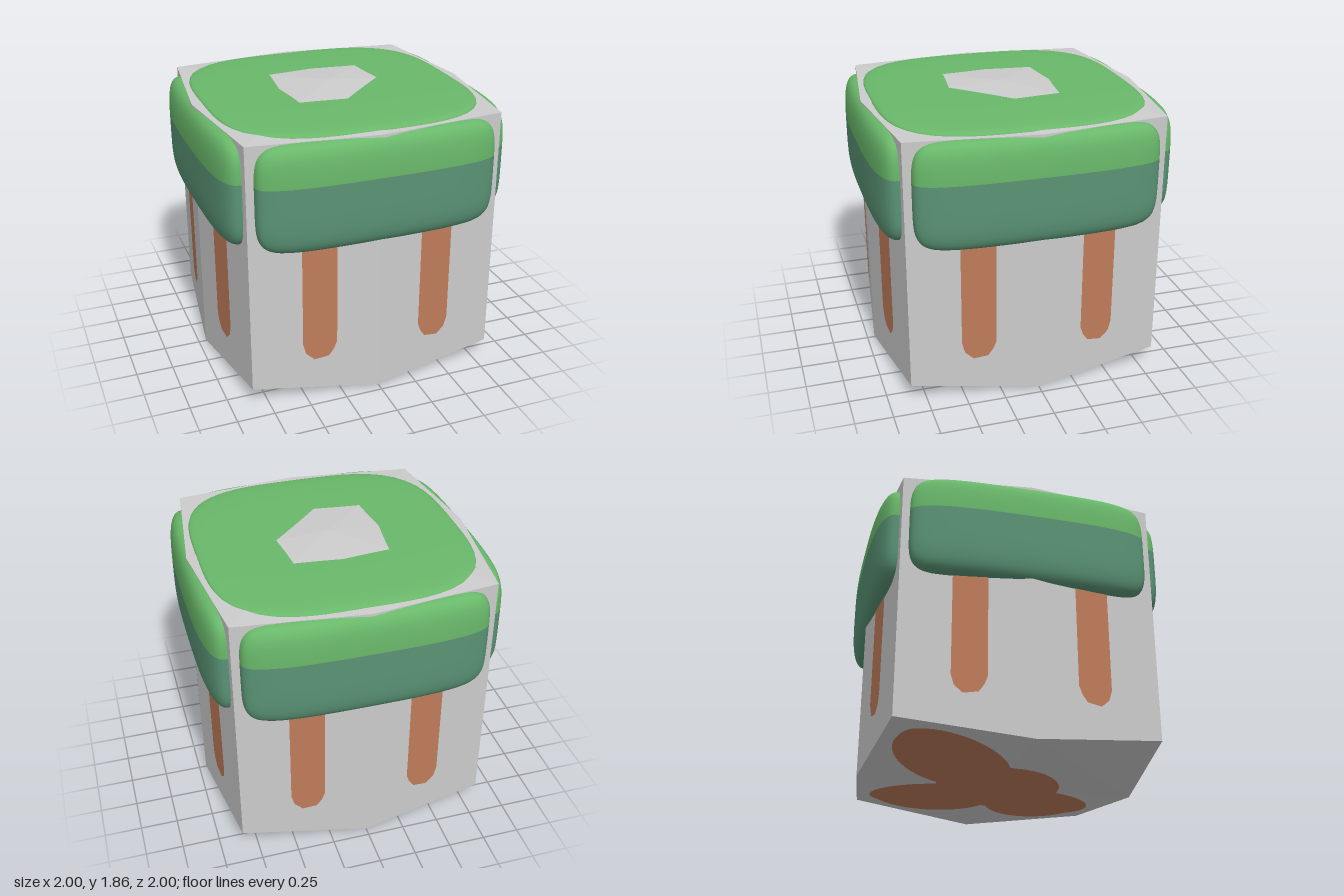
import * as THREE from 'three';

const mat = (name, color) => {
  const m = new THREE.MeshStandardMaterial({ color });
  m.name = name;
  return m;
};

// Height of the block's underside at (x, z)
function undersideY(x, z) {
  const a = Math.abs(x), b = Math.abs(z);
  if (x < 0 && z > 0 && a + b < 0.95) return 0.005 + 0.005 * (a + b) / 0.95;
  const c = Math.min(a, b) / 0.85, m = Math.abs(a - b) / 0.95;
  return 0.005 * (1 - c - m) + 0.01 * m + 0.11 * c;
}

// Grid surface: fn(i, j) returns a point; quads wind counter-clockwise for i right, j up
function grid(nu, nv, fn) {
  const pos = [], idx = [];
  for (let j = 0; j <= nv; j++) for (let i = 0; i <= nu; i++) pos.push(...fn(i, j));
  for (let j = 0; j < nv; j++) for (let i = 0; i < nu; i++) {
    const a = j * (nu + 1) + i, b = a + nu + 1;
    idx.push(a, a + 1, b + 1, a, b + 1, b);
  }
  const g = new THREE.BufferGeometry();
  g.setAttribute('position', new THREE.Float32BufferAttribute(pos, 3));
  g.setIndex(idx);
  g.computeVertexNormals();
  return g;
}

// Eight-sided block with ridged faces and low peaks above and below
function blockGeometry() {
  const pts = [], tris = [];
  for (const top of [false, true]) for (let k = 0; k < 8; k++) {
    const r = k % 2 ? 0.85 * Math.SQRT2 : 0.95, a = k * Math.PI / 4;
    pts.push([r * Math.cos(a), top ? 1.8 : k % 2 ? 0.11 : 0.01, r * Math.sin(a)]);
  }
  pts.push([0, 0.005, 0], [0, 1.86, 0]);
  for (let k = 0; k < 8; k++) {
    const n = (k + 1) % 8;
    tris.push(k, k + 8, n + 8, k, n + 8, n);
  }
  for (let k = 0; k < 8; k += 2) {
    const c = k + 1, n = (k + 2) % 8;
    if (k === 0) tris.push(17, n + 8, k + 8, k + 8, n + 8, c + 8);
    else tris.push(17, c + 8, k + 8, 17, n + 8, c + 8);
    if (k === 2) tris.push(16, k, n, k, c, n);
    else tris.push(16, k, c, 16, c, n);
  }
  const g = new THREE.BufferGeometry();
  g.setAttribute('position', new THREE.Float32BufferAttribute(tris.flatMap(i => pts[i]), 3));
  g.computeVertexNormals();
  return g;
}

// Pillowy side band, split into a lower and an upper colour
function bandGeometry() {
  const nu = 32, low = 16, high = 12, split = Math.asin(0.1 / 0.36);
  const g = grid(nu, low + high, (i, j) => {
    const t = j <= low
      ? -Math.PI / 2 + (split + Math.PI / 2) * j / low
      : split + (Math.PI / 2 - split) * (j - low) / high;
    const Y = Math.sin(t), X = Math.sin((i / nu - 0.5) * Math.PI);
    const w = 0.8 * Math.pow(Math.max(0, 1 - Math.abs(Y) ** 5), 0.1);
    const bulge = Math.cbrt(Math.max(0, 1 - Math.abs(X) ** 3)) * Math.pow(Math.max(0, 1 - Y ** 4), 0.25);
    return [w * X, 1.44 + 0.36 * Y, 0.85 + 0.15 * bulge];
  });
  g.addGroup(0, nu * low * 6, 0);
  g.addGroup(nu * low * 6, nu * high * 6, 1);
  return g;
}

// Drip strip lying on the slanted face
function dripGeometry(side) {
  const outline = [[0.29, 1.2], [0.29, 0.4], [0.31, 0.345], [0.345, 0.295], [0.44, 0.28],
    [0.495, 0.33], [0.515, 0.4], [0.515, 1.2]];
  const g = new THREE.ShapeGeometry(new THREE.Shape(outline.map(([x, y]) => new THREE.Vector2(side * x, y))));
  const p = g.attributes.position;
  for (let i = 0; i < p.count; i++) p.setZ(i, 0.954 - 0.1176 * Math.abs(p.getX(i)));
  g.computeVertexNormals();
  return g;
}

export function createModel() {
  const group = new THREE.Group();
  const grey = mat('light grey', 0xcccccc);
  const green = mat('leaf green', 0x69b86a);
  const teal = mat('dull teal', 0x5a9475);
  const clay = mat('clay brown', 0xc07c5b);
  clay.side = THREE.DoubleSide;

  const add = (name, geo, material, parent = group) => {
    const m = new THREE.Mesh(geo, material);
    m.name = name;
    parent.add(m);
    return m;
  };

  add('block', blockGeometry(), grey);

  // Band and two drips on each of the four sides
  const band = bandGeometry(), drips = [dripGeometry(-1), dripGeometry(1)];
  for (let k = 0; k < 4; k++) {
    const side = new THREE.Group();
    side.name = 'side' + (k + 1);
    side.rotation.y = k * Math.PI / 2;
    add('band', band, [teal, green], side);
    drips.forEach(d => add('drip', d, clay, side));
    group.add(side);
  }

  // Soft square pad on top; the block's peak pokes through its middle
  add('topPad', grid(64, 20, (i, j) => {
    const a = i / 64 * Math.PI * 2, s = Math.sin((1 - j / 20) * Math.PI / 2);
    const c = Math.cos(a), d = Math.sin(a);
    const r = 0.885 * s / Math.pow(Math.abs(c) ** 3.4 + Math.abs(d) ** 3.4, 1 / 3.4);
    return [r * c, 1.798 + 0.04 * Math.cbrt(Math.max(0, 1 - s ** 4)), -r * d];
  }), green);

  // Painted petals and centre draped on the underside
  const drape = (x, z) => [x, undersideY(x, z) - 0.004, z];
  add('undersideCentre', grid(32, 6, (i, j) => {
    const a = i / 32 * Math.PI * 2, r = 0.42 * j / 6;
    return drape(r * Math.cos(a), r * Math.sin(a));
  }), clay);
  for (const [sx, sz] of [[1, 1], [1, -1], [-1, -1]]) {
    add('undersidePetal', grid(12, 28, (i, j) => {
      const t = (j / 28 - 0.5) * Math.PI;
      const along = 0.55 + 0.47 * Math.sin(t), across = 0.33 * Math.cos(t) * (i / 6 - 1);
      return drape(sx * (along + across) * Math.SQRT1_2, sz * (along - across) * Math.SQRT1_2);
    }), clay);
  }
  return group;
}
